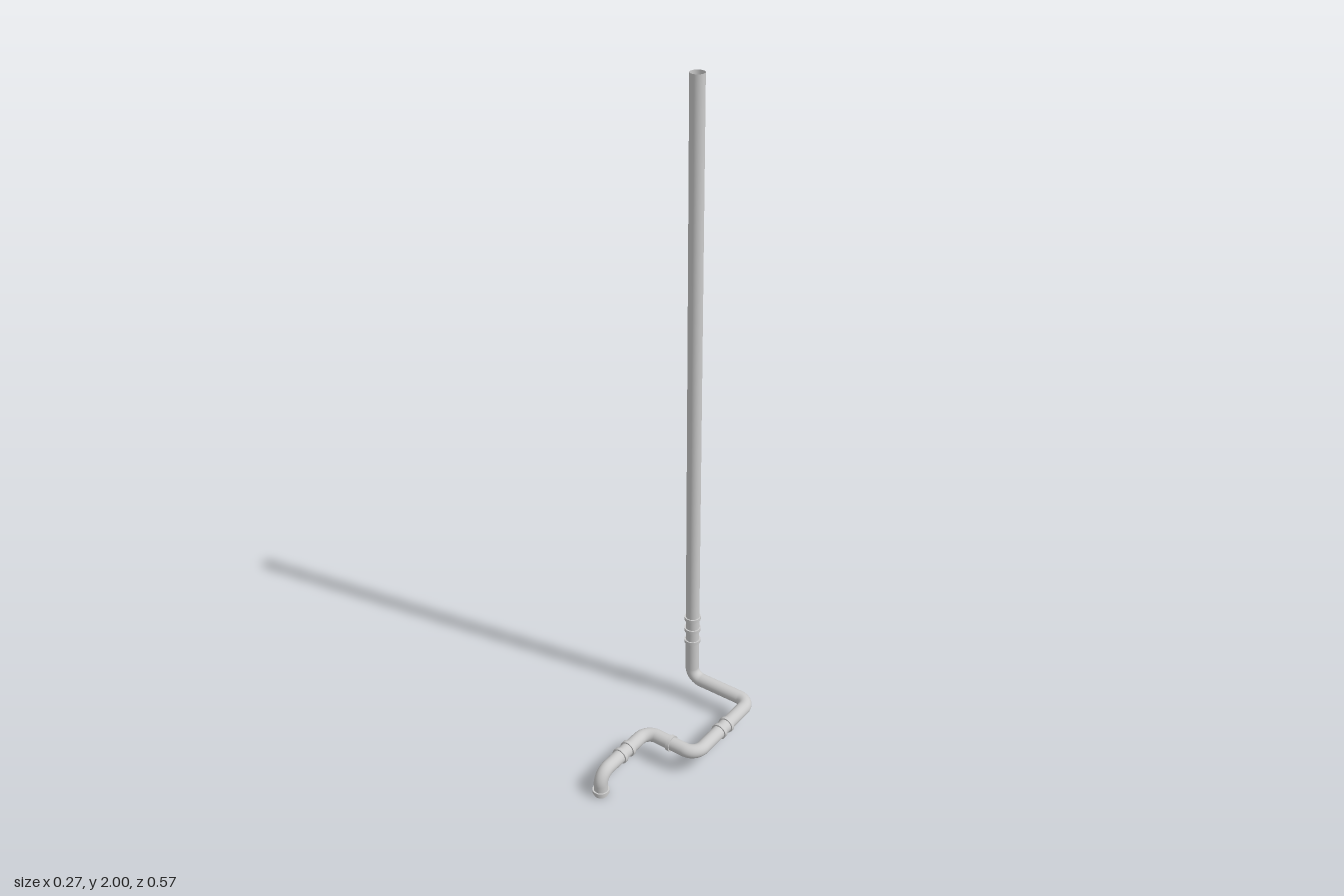
import * as THREE from 'three';

const PIPE_R = 0.0208, BEND_R = 0.038, COLLAR_R = 0.025, COLLAR_W = 0.011;
const v = (x, y, z) => new THREE.Vector3(x, y, z);

// Quarter-circle centreline around a right-angled corner
class BendCurve extends THREE.Curve {
  constructor(corner, toPrev, toNext) {
    super();
    Object.assign(this, { corner, toPrev, toNext });
  }
  getPoint(t, target = new THREE.Vector3()) {
    const a = t * Math.PI / 2;
    return target.copy(this.corner)
      .addScaledVector(this.toPrev, BEND_R * (1 - Math.sin(a)))
      .addScaledVector(this.toNext, BEND_R * (1 - Math.cos(a)));
  }
}

export function createModel() {
  const group = new THREE.Group();
  const mat = new THREE.MeshStandardMaterial({ color: 0xcccccc, side: THREE.DoubleSide });
  const add = (name, geo) => {
    const mesh = new THREE.Mesh(geo, mat);
    mesh.name = name;
    group.add(mesh);
    return mesh;
  };

  // Corners of the pipe run, from the open top to the spout
  const Y = 0.077;
  const run = [
    v(-0.109, 2, -0.26), v(-0.109, Y, -0.26), v(0.107, Y, -0.26),
    v(0.107, Y, 0.033), v(-0.07, Y, 0.033), v(-0.07, Y, 0.26), v(-0.07, 0, 0.26),
  ];

  // Straight pipes between the bends, and an elbow at each corner
  const last = run.length - 1;
  for (let i = 0; i < last; i++) {
    const dir = run[i + 1].clone().sub(run[i]).normalize();
    const start = run[i].clone().addScaledVector(dir, i > 0 ? BEND_R : 0);
    const end = run[i + 1].clone().addScaledVector(dir, i < last - 1 ? -BEND_R : 0);
    add('straightPipe', new THREE.TubeGeometry(new THREE.LineCurve3(start, end), 1, PIPE_R, 32));
    if (i > 0) {
      const back = run[i - 1].clone().sub(run[i]).normalize();
      add('elbow', new THREE.TubeGeometry(new BendCurve(run[i], back, dir), 14, PIPE_R, 32));
    }
  }

  // Flat ring collars: position and pipe axis
  const collars = [
    [v(-0.109, 0.307, -0.26), 'y'], [v(-0.109, 0.265, -0.26), 'y'], [v(-0.109, 0.221, -0.26), 'y'],
    [v(0.107, Y, -0.132), 'z'], [v(0.107, Y, -0.095), 'z'],
    [v(0.02, Y, 0.033), 'x'],
    [v(-0.07, Y, 0.126), 'z'], [v(-0.07, Y, 0.164), 'z'],
    [v(-0.07, 0.014, 0.26), 'y'],
  ];
  const h = COLLAR_W / 2, inner = PIPE_R - 0.0005;
  const side = new THREE.CylinderGeometry(COLLAR_R, COLLAR_R, COLLAR_W, 32, 1, true);
  const face = new THREE.RingGeometry(inner, COLLAR_R, 32);
  const top = face.clone().rotateX(-Math.PI / 2).translate(0, h, 0);
  const bottom = face.clone().rotateX(Math.PI / 2).translate(0, -h, 0);
  for (const [pos, axis] of collars) {
    const collar = new THREE.Group();
    collar.name = 'collar';
    for (const [name, geo] of [['collarBand', side], ['collarFace', top], ['collarFace', bottom]]) {
      collar.add(add(name, geo));
    }
    if (axis === 'x') collar.rotation.z = Math.PI / 2;
    if (axis === 'z') collar.rotation.x = Math.PI / 2;
    collar.position.copy(pos);
    group.add(collar);
  }
  return group;
}
